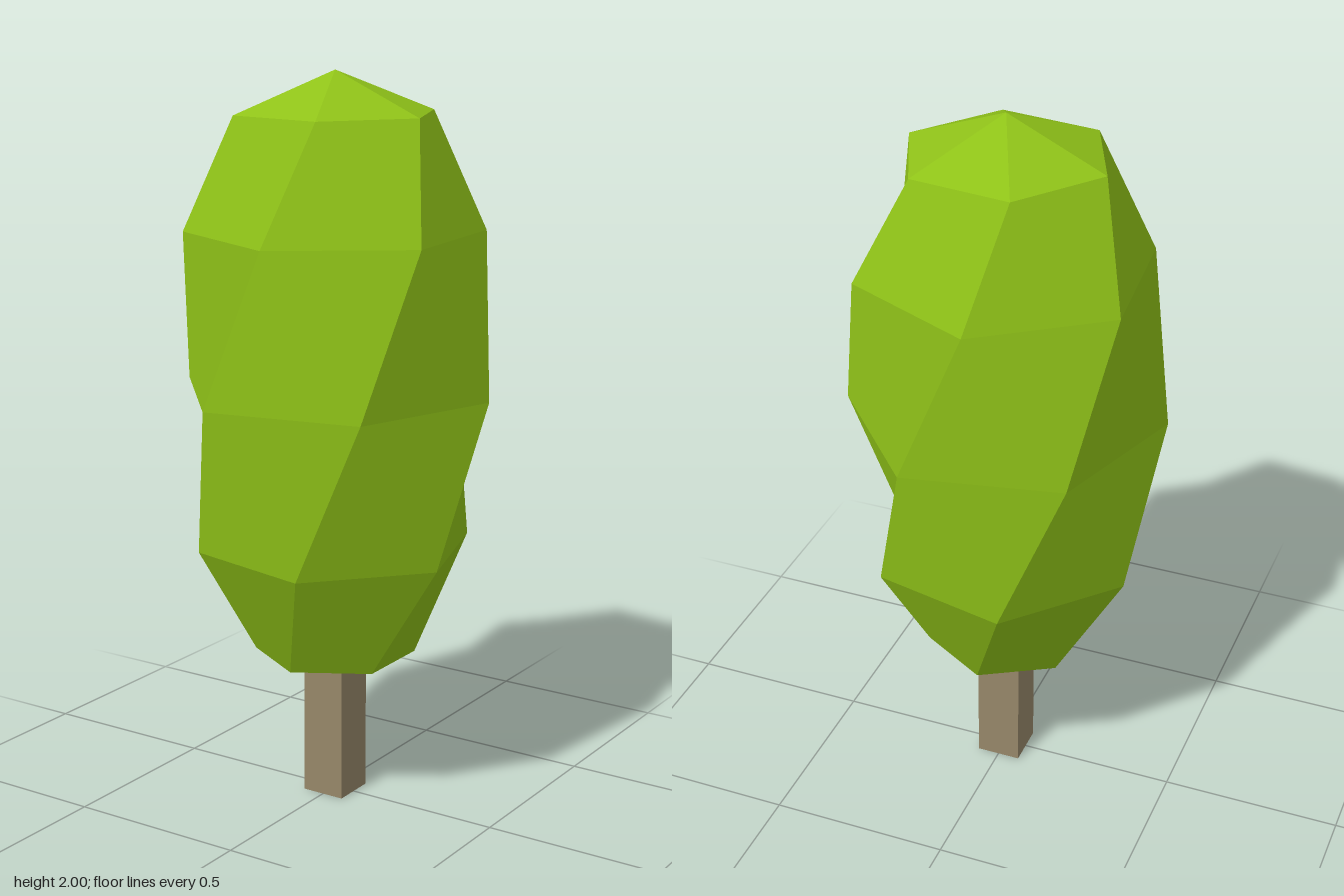
import * as THREE from 'three';

const SIDES = 6;

// Canopy rings from bottom to top: [height, radius, twist in degrees]
const RINGS = [
  [0.41, 0.22, 150],
  [0.72, 0.38, 132.2],
  [1.15, 0.434, 108.2],
  [1.58, 0.402, 84.3],
  [1.89, 0.279, 66.7],
];

function ringPoint([y, r, twist], k) {
  const a = THREE.MathUtils.degToRad(twist + (k * 360) / SIDES);
  return new THREE.Vector3(r * Math.cos(a), y, r * Math.sin(a));
}

// Twisted faceted crown; every facet is shaded with a single normal
function canopyGeometry() {
  const positions = [];
  const normals = [];
  const addFacet = (points, normal) => {
    for (const p of points) {
      positions.push(p.x, p.y, p.z);
      normals.push(normal.x, normal.y, normal.z);
    }
  };
  const addTriangle = (a, b, c) => {
    const n = b.clone().sub(a).cross(c.clone().sub(a)).normalize();
    addFacet([a, b, c], n);
  };

  const bottom = new THREE.Vector3(0, RINGS[0][0], 0);
  const tip = new THREE.Vector3(0, 2, 0);
  for (let k = 0; k < SIDES; k++) {
    // Side facets between neighbouring rings
    for (let i = 0; i < RINGS.length - 1; i++) {
      const l0 = ringPoint(RINGS[i], k);
      const l1 = ringPoint(RINGS[i], k + 1);
      const u0 = ringPoint(RINGS[i + 1], k);
      const u1 = ringPoint(RINGS[i + 1], k + 1);
      const n = u0.clone().sub(l1).cross(u1.clone().sub(l0)).normalize();
      addFacet([l1, l0, u0, l1, u0, u1], n);
    }
    // Flat underside and shallow pointed top
    addTriangle(bottom, ringPoint(RINGS[0], k), ringPoint(RINGS[0], k + 1));
    const top = RINGS[RINGS.length - 1];
    addTriangle(ringPoint(top, k + 1), ringPoint(top, k), tip);
  }

  const geometry = new THREE.BufferGeometry();
  geometry.setAttribute('position', new THREE.Float32BufferAttribute(positions, 3));
  geometry.setAttribute('normal', new THREE.Float32BufferAttribute(normals, 3));
  return geometry;
}

export function createModel() {
  const tree = new THREE.Group();
  tree.name = 'tree';

  // Square trunk
  const trunk = new THREE.Mesh(
    new THREE.BoxGeometry(0.124, 0.41, 0.124),
    new THREE.MeshStandardMaterial({ color: 0x968769 })
  );
  trunk.name = 'trunk';
  trunk.position.y = 0.205;

  // Leafy crown
  const canopy = new THREE.Mesh(
    canopyGeometry(),
    new THREE.MeshStandardMaterial({ color: 0x8fc218 })
  );
  canopy.name = 'canopy';

  tree.add(trunk, canopy);
  return tree;
}
